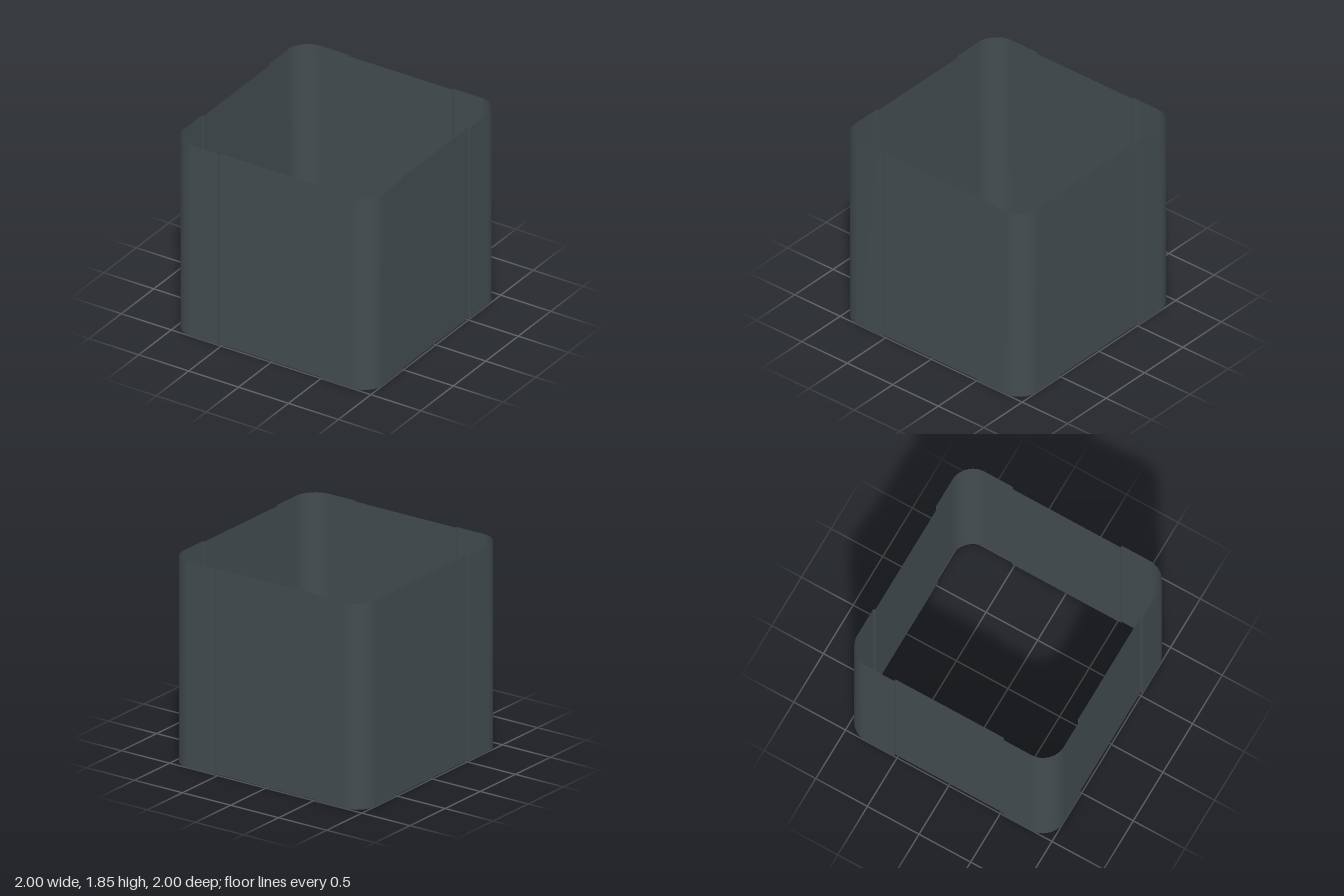
import * as THREE from 'three';

const HEIGHT = 1.85, SEAM = 0.527, RADIUS = 0.2, INSET = 0.018;

// Upright sheet following a plan path of [x, z] points, left to right seen from outside
function sheet(path) {
  const geo = new THREE.PlaneGeometry(1, HEIGHT, path.length - 1, 1);
  const pos = geo.attributes.position;
  for (let i = 0; i < pos.count; i++) {
    const [x, z] = path[i % path.length];
    pos.setXYZ(i, x, pos.getY(i) + HEIGHT / 2, z);
  }
  geo.computeVertexNormals();
  return geo;
}

export function createModel() {
  const model = new THREE.Group();
  model.name = 'openSquareSleeve';
  const slate = new THREE.MeshStandardMaterial({ color: 0x434c50, side: THREE.DoubleSide });
  slate.name = 'slateGrey';

  // Rounded corner with a short flat wing on each side
  const corner = [[SEAM, 1]];
  const steps = 16, c = 1 - RADIUS;
  for (let i = 0; i <= steps; i++) {
    const a = (i / steps) * Math.PI / 2;
    corner.push([c + RADIUS * Math.sin(a), c + RADIUS * Math.cos(a)]);
  }
  corner.push([1, SEAM]);
  const cornerGeo = sheet(corner);

  // Slightly recessed middle panel, with a small step at each seam
  const panelGeo = sheet([
    [-SEAM, 1], [-SEAM, 1 - INSET], [SEAM, 1 - INSET], [SEAM, 1],
  ]).toNonIndexed();
  panelGeo.computeVertexNormals();

  // Four sides, each a panel and the corner next to it
  ['front', 'left', 'back', 'right'].forEach((side, i) => {
    const panel = new THREE.Mesh(panelGeo, slate);
    panel.name = side + 'Panel';
    const bend = new THREE.Mesh(cornerGeo, slate);
    bend.name = side + 'Corner';
    panel.rotation.y = bend.rotation.y = i * Math.PI / 2;
    model.add(panel, bend);
  });
  return model;
}
